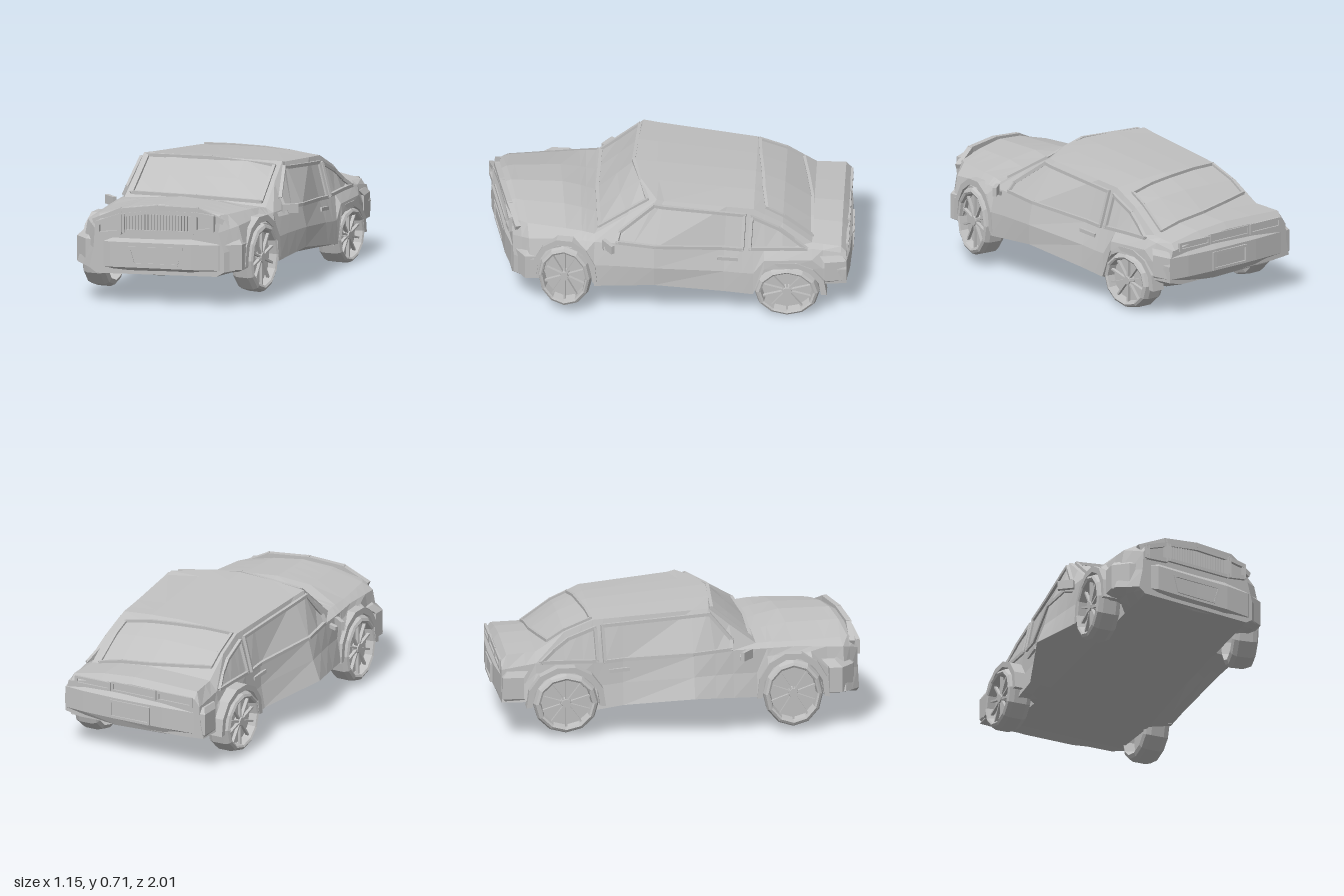
import * as THREE from 'three';

const paint = new THREE.MeshStandardMaterial({ color: 0xc0c0c0 });
paint.name = 'light grey';

// piecewise linear curve over z; every knot becomes a body station
const knots = new Set();
const curve = (...p) => {
  p.forEach(k => knots.add(k[0]));
  return z => {
    if (z <= p[0][0]) return p[0][1];
    for (let i = 1; i < p.length; i++) {
      const [a, va] = p[i - 1], [b, vb] = p[i];
      if (z <= b) return va + (vb - va) * (z - a) / (b - a);
    }
    return p[p.length - 1][1];
  };
};
const lerp = (a, b, t) => a.map((v, i) => v + (b[i] - v) * t);

// body proportions along z; L is the -x side, R the +x side
const sillY = curve([-.97, .2], [-.84, .2], [-.78, .3], [-.52, .3], [-.46, .14], [.08, .22],
  [.42, .2], [.47, .38], [.68, .41], [.76, .22], [.93, .2]);
const beltY = curve([-.97, .38], [-.78, .41], [-.4, .4], [.3, .465], [.6, .465], [.84, .45], [.93, .42]);
const topY = curve([-.97, .43], [-.94, .465], [-.78, .475], [-.62, .58], [-.46, .645], [.08, .695],
  [.2, .705], [.42, .505], [.5, .53], [.6, .553], [.88, .557], [.93, .535]);
const sides = {
  L: {
    s: -1, bulge: -.008,
    floor: curve([-.97, .19], [-.84, .17], [-.46, .15], [.08, .16], [.93, .17]),
    sill: curve([-.97, .455], [-.78, .46], [-.3, .45], [.08, .575], [.42, .5], [.68, .48], [.84, .48], [.93, .37]),
    belt: curve([-.97, .43], [-.3, .42], [.08, .505], [.42, .47], [.6, .44], [.84, .42], [.93, .34]),
    top: curve([-.97, .4], [-.78, .385], [-.46, .365], [.2, .42], [.42, .42], [.6, .4], [.84, .36], [.93, .31]),
    drop: curve([-.78, .01], [-.46, .015], [.2, .015], [.42, .02], [.6, .07], [.93, .07]),
    shift: curve([.08, 0], [.2, -.03], [.42, 0])
  },
  R: {
    s: 1, bulge: .015,
    floor: curve([-.97, .18], [-.84, .14], [-.46, .11], [.08, .155], [.93, .175]),
    sill: curve([-.97, .42], [-.78, .44], [-.3, .47], [.08, .51], [.42, .5], [.68, .46], [.84, .45], [.93, .37]),
    belt: curve([-.97, .4], [-.3, .42], [.08, .49], [.42, .465], [.6, .44], [.84, .42], [.93, .34]),
    top: curve([-.97, .385], [-.78, .365], [-.46, .35], [.2, .365], [.42, .42], [.6, .4], [.84, .36], [.93, .31]),
    drop: curve([-.94, .05], [-.78, .05], [-.46, .02], [.2, .02], [.42, .015], [.6, .045], [.93, .045]),
    shift: curve([-.4, 0], [.08, -.05], [.2, -.13], [.42, 0])
  }
};

// the nose is skewed: its -x side reaches further forward
const skew = ([x, y, z]) => [x, y, z - Math.max(0, .35 * (z - .35)) * x];

// half section from the floor up to the middle of the roof line
function half(z, d) {
  const ys = sillY(z), by = beltY(z), top = topY(z), floor = d.floor(z);
  const xi = .33, xs = d.sill(z), xb = d.belt(z), xt = d.top(z), yt = top - d.drop(z);
  const well = ys > .25 ? [xi, ys] : [(xi + xs) / 2, (floor + ys) / 2];
  const pts = [[xi, floor], well, [xs, ys], [(xs + xb) / 2 + d.bulge, (ys + by) / 2], [xb, Math.min(by, yt)],
    [xt, yt], [xt / 2, top - d.drop(z) * .3]];
  return pts.map(([x, y], i) => skew([d.s * x, y, z + (i === 5 ? d.shift(z) : i === 6 ? d.shift(z) * .3 : 0)]));
}
const ring = z => [...half(z, sides.L), skew([0, topY(z), z]), ...half(z, sides.R).reverse()];

// points just above the surface: on the cabin side, and across the top (s from -1 to 1)
const sidePoint = (d, z, t) => {
  const h = half(z, d), [x, y, pz] = lerp(h[4], h[5], t);
  return [x + d.s * .005, y, pz];
};
const topPoint = (z, s) => {
  const h = half(z, s < 0 ? sides.L : sides.R), a = Math.abs(s), c = skew([0, topY(z), z]);
  const [x, y, pz] = a < .5 ? lerp(c, h[6], a * 2) : lerp(h[6], h[5], a * 2 - 1);
  return [x, y + .005, pz];
};

function mesh(name, geo) {
  const flat = geo.index ? geo.toNonIndexed() : geo;
  flat.computeVertexNormals();
  const m = new THREE.Mesh(flat, paint);
  m.name = name;
  return m;
}

// closed skin through a list of rings, capped at both ends
function loft(rings) {
  const out = [], n = rings[0].length;
  const tri = (a, b, c) => out.push(...a, ...b, ...c);
  for (let i = 0; i + 1 < rings.length; i++) for (let j = 0; j < n; j++) {
    const k = (j + 1) % n, [a, b, c, d] = [rings[i][j], rings[i][k], rings[i + 1][k], rings[i + 1][j]];
    tri(a, d, c); tri(a, c, b);
  }
  [rings[0], rings[rings.length - 1]].forEach((r, e) => {
    const mid = [0, 1, 2].map(i => r.reduce((s, p) => s + p[i], 0) / n);
    r.forEach((p, j) => e ? tri(mid, r[(j + 1) % n], p) : tri(mid, p, r[(j + 1) % n]));
  });
  const g = new THREE.BufferGeometry();
  g.setAttribute('position', new THREE.Float32BufferAttribute(out, 3));
  return g;
}

// square bar between two points, and a frame of bars round a loop
function bar(name, a, b, w) {
  const A = new THREE.Vector3(...a), B = new THREE.Vector3(...b);
  const m = mesh(name, new THREE.BoxGeometry(w, w, A.distanceTo(B) + w * .6));
  m.position.copy(A).lerp(B, .5);
  m.lookAt(B);
  return m;
}
function frame(name, pts, w) {
  const g = new THREE.Group();
  g.name = name;
  pts.forEach((p, i) => g.add(bar(name + 'Bar', p, pts[(i + 1) % pts.length], w)));
  return g;
}

// wheel and arch flare; the origin is the middle of the outer face
function wheel(name, s, [x, y, z], ry, rz, toe = 0) {
  const g = new THREE.Group();
  g.name = name;
  const profile = [[0, -.085], [.74, -.085], [.8, -.145], [.93, -.135], [1, -.11], [1, -.035], [.94, -.008], [.86, 0],
    [.8, -.006], [.76, -.05], [0, -.05]].map(p => new THREE.Vector2(...p));
  g.add(mesh('tyreAndRim', new THREE.LatheGeometry(profile, 12).rotateZ(-s * Math.PI / 2)));
  g.add(mesh('hub', new THREE.CylinderGeometry(.14, .18, .035, 10).rotateZ(-s * Math.PI / 2).translate(-s * .032, 0, 0)));
  for (let i = 0; i < 10; i++)
    g.add(mesh('spoke', new THREE.BoxGeometry(.018, .66, .06).translate(-s * .03, .45, 0).rotateX(i * Math.PI / 5)));
  const arc = r => Array.from({ length: 8 }, (_, i) => {
    const a = -.1 + i * (Math.PI + .2) / 7;
    return new THREE.Vector2(r * Math.cos(a), r * Math.sin(a));
  });
  const shape = new THREE.Shape([...arc(1.22), ...arc(1.04).reverse()]);
  const flare = new THREE.ExtrudeGeometry(shape, { depth: .08, bevelEnabled: false });
  g.add(mesh('archFlare', flare.translate(0, 0, -.04).rotateY(Math.PI / 2).translate(-s * .055, 0, 0)));
  g.scale.set(1, ry, rz);
  g.rotation.y = toe;
  g.position.set(x, y, z);
  return g;
}

export function createModel() {
  const car = new THREE.Group();
  car.name = 'car';

  // body shell with hood, cabin and boot
  const zs = [...knots].sort((a, b) => a - b);
  car.add(mesh('body', loft(zs.map(ring))));

  // bumpers: plan outlines stacked in y
  const bumper = (name, plan, levels) => car.add(mesh(name, loft(levels.map(([y, s, dz]) =>
    plan.map(([x, z]) => skew([x * s, y + .06 * Math.abs(x) * (y < .2), z - dz * Math.sign(z)]))))));
  bumper('frontBumper', [[.45, .78], [.45, .87], [.34, .935], [.2, .95], [0, .945], [-.25, .945], [-.41, .89], [-.49, .82], [-.49, .76]],
    [[.165, .92, .04], [.21, 1, 0], [.35, 1, 0], [.39, .93, .03]]);
  bumper('rearBumper', [[-.46, -.85], [-.462, -.965], [-.2, -.985], [.1, -.992], [.3, -.985], [.42, -.97], [.44, -.85]],
    [[.17, .97, .02], [.22, 1, 0], [.34, 1, 0], [.37, .96, .025]]);

  // hood lip
  const lip = [[-.35, .455, .9], [-.2, .52, .925], [0, .545, .93], [.22, .54, .925], [.35, .48, .9]].map(skew);
  for (let i = 0; i < 4; i++) car.add(bar('hoodLip', lip[i], lip[i + 1], .03));

  // grille and headlights
  const nose = pts => pts.map(([x, y]) => skew([x, y, .936]));
  car.add(frame('grilleFrame', nose([[-.18, .41], [.2, .415], [.2, .52], [0, .525], [-.18, .5]]), .018));
  for (let i = 0; i < 22; i++) {
    const x = -.165 + i * .0167;
    car.add(bar('grilleSlat', ...nose([[x, .42], [x, .505]]), .008));
  }
  car.add(frame('headlightFrame', nose([[-.32, .39], [-.2, .4], [-.2, .495], [-.32, .45]]), .024));
  car.add(frame('headlightFrame', nose([[.215, .42], [.31, .435], [.31, .505], [.215, .52]]), .024));

  // number plate surrounds, tail lights
  const front = [[-.12, .23], [.115, .23], [.145, .325], [-.145, .32]].map(([x, y]) => skew([x, y, .945]));
  car.add(frame('frontPlateSurround', front, .012));
  const tail = (name, x0, x1, y0, y1, z, w) =>
    car.add(frame(name, [[x0, y0, z], [x1, y0, z], [x1, y1, z], [x0, y1, z]], w));
  tail('rearPlateSurround', -.12, .12, .23, .32, -.991, .014);
  tail('tailLight', -.38, -.17, .375, .42, -.972, .014);
  tail('tailLight', .14, .35, .375, .41, -.972, .014);
  tail('tailPanel', -.15, .12, .375, .42, -.972, .012);

  // windscreen and rear window frames
  car.add(frame('windscreenFrame', [[.4, -.92], [.41, 0], [.4, .92], [.225, .92], [.21, 0], [.215, -.92]]
    .map(p => topPoint(...p)), .018));
  car.add(frame('rearWindowFrame', [[-.71, -.92], [-.74, -.5], [-.77, 0], [-.775, .5], [-.78, .86], [-.62, .85], [-.53, .84],
    [-.51, .4], [-.5, 0], [-.48, -.5], [-.47, -.93], [-.62, -.93]].map(p => topPoint(...p)), .016));

  for (const d of [sides.L, sides.R]) {
    const s = d.s, side = pts => pts.map(([z, t]) => sidePoint(d, z, t));
    // side window frames and door handle
    car.add(frame('doorWindowFrame', side([[.29, .06], [.3, .42], [.2, .88], [.08, .88], [-.2, .86], [-.41, .85], [-.4, .03],
      [-.3, .03], [.08, .05]]), .018));
    car.add(frame('quarterWindowFrame', side([[-.44, .04], [-.45, .82], [-.6, .75], [-.68, .55], [-.75, .06], [-.62, .05]]), .018));
    const h0 = half(-.27, d), h1 = half(-.37, d);
    car.add(bar('doorHandle', lerp(h0[3], h0[4], .6), lerp(h1[3], h1[4], .6), .02));

    // door mirror on a short stalk
    const mirror = mesh('mirror', new THREE.BoxGeometry(.09, .05, .022));
    mirror.position.set(s * .53, s > 0 ? .48 : .45, s > 0 ? .33 : .37);
    mirror.rotation.y = s * .65;
    car.add(mirror, bar('mirrorStalk', [s * .45, .44, .36], [s * .52, s > 0 ? .46 : .43, .345], .022));
  }

  car.add(
    wheel('frontWheelRight', 1, [.495, .245, .575], .195, .15, -.14),
    wheel('frontWheelLeft', -1, [-.52, .215, .63], .19, .165),
    wheel('rearWheelRight', 1, [.465, .155, -.645], .155, .18),
    wheel('rearWheelLeft', -1, [-.51, .195, -.62], .17, .18)
  );
  return car;
}
